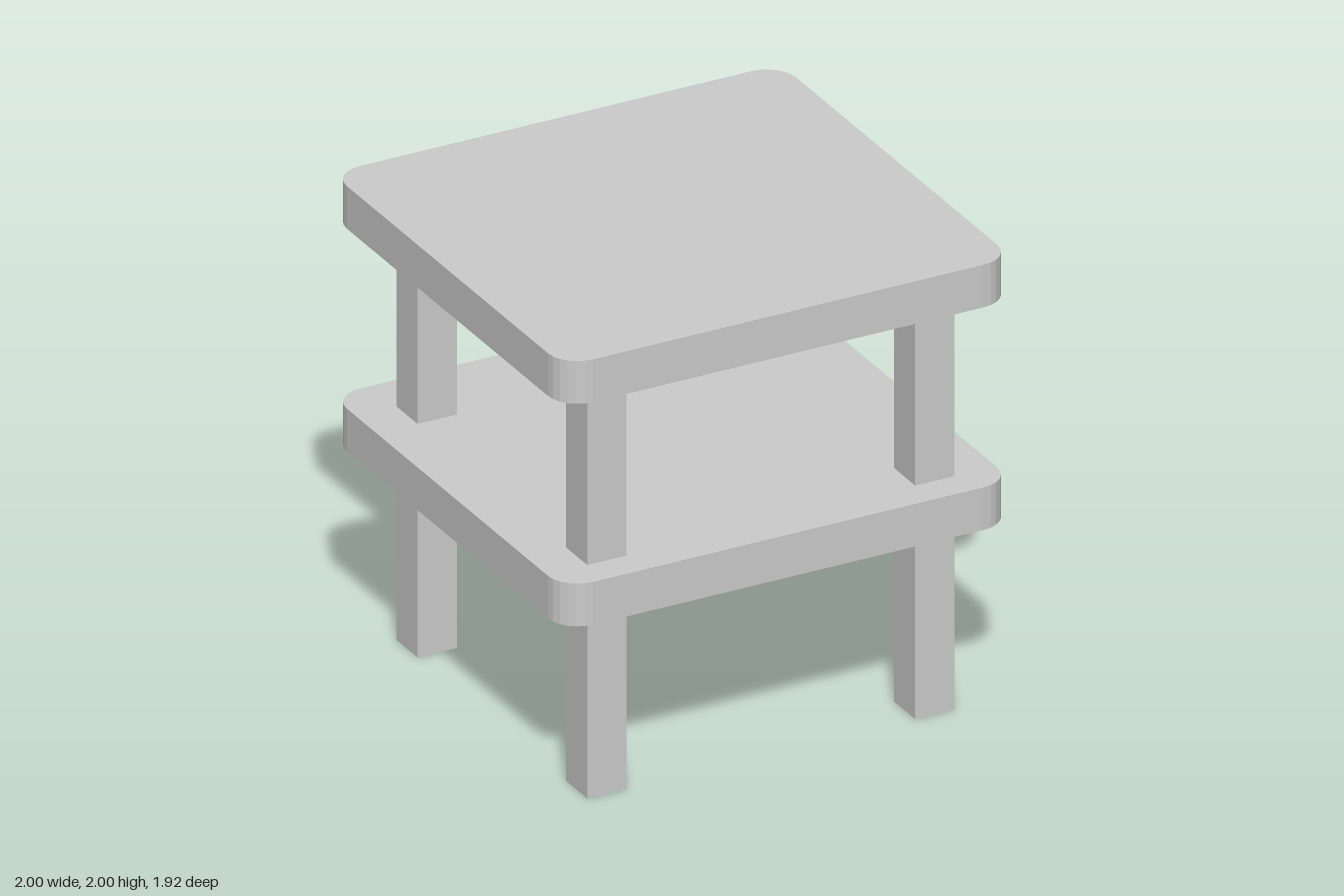
import * as THREE from 'three';

const material = new THREE.MeshStandardMaterial({ color: 0xcccccc, flatShading: true });

// Flat board with rounded corners, its underside at height y
function board(name, y) {
  const w = 1, d = 0.96, r = 0.13, thickness = 0.187;
  const shape = new THREE.Shape();
  shape.absarc(w - r, d - r, r, 0, Math.PI / 2);
  shape.absarc(-w + r, d - r, r, Math.PI / 2, Math.PI);
  shape.absarc(-w + r, -d + r, r, Math.PI, Math.PI * 1.5);
  shape.absarc(w - r, -d + r, r, Math.PI * 1.5, Math.PI * 2);
  shape.closePath();
  const geometry = new THREE.ExtrudeGeometry(shape, { depth: thickness, bevelEnabled: false, curveSegments: 3 });
  geometry.rotateX(-Math.PI / 2);
  const mesh = new THREE.Mesh(geometry, material);
  mesh.name = name;
  mesh.position.y = y;
  return mesh;
}

// Square leg, slightly narrower at the foot
function leg(name, x, z) {
  const height = 1.813, foot = 0.145, head = 0.175;
  const geometry = new THREE.BoxGeometry(1, height, 1).translate(0, height / 2, 0);
  const p = geometry.attributes.position;
  for (let i = 0; i < p.count; i++) {
    const s = p.getY(i) > 0 ? head : foot;
    p.setXYZ(i, p.getX(i) * s, p.getY(i), p.getZ(i) * s);
  }
  geometry.computeVertexNormals();
  const mesh = new THREE.Mesh(geometry, material);
  mesh.name = name;
  mesh.position.set(x, 0, z);
  return mesh;
}

export function createModel() {
  const table = new THREE.Group();
  table.name = 'sideTable';
  table.add(board('tableTop', 1.813), board('lowerShelf', 0.837));

  // Legs sit slightly forward of centre
  for (const [side, x] of [['Left', 0.728], ['Right', -0.732]]) {
    table.add(leg(`front${side}Leg`, x, 0.732), leg(`back${side}Leg`, x, -0.668));
  }
  return table;
}
